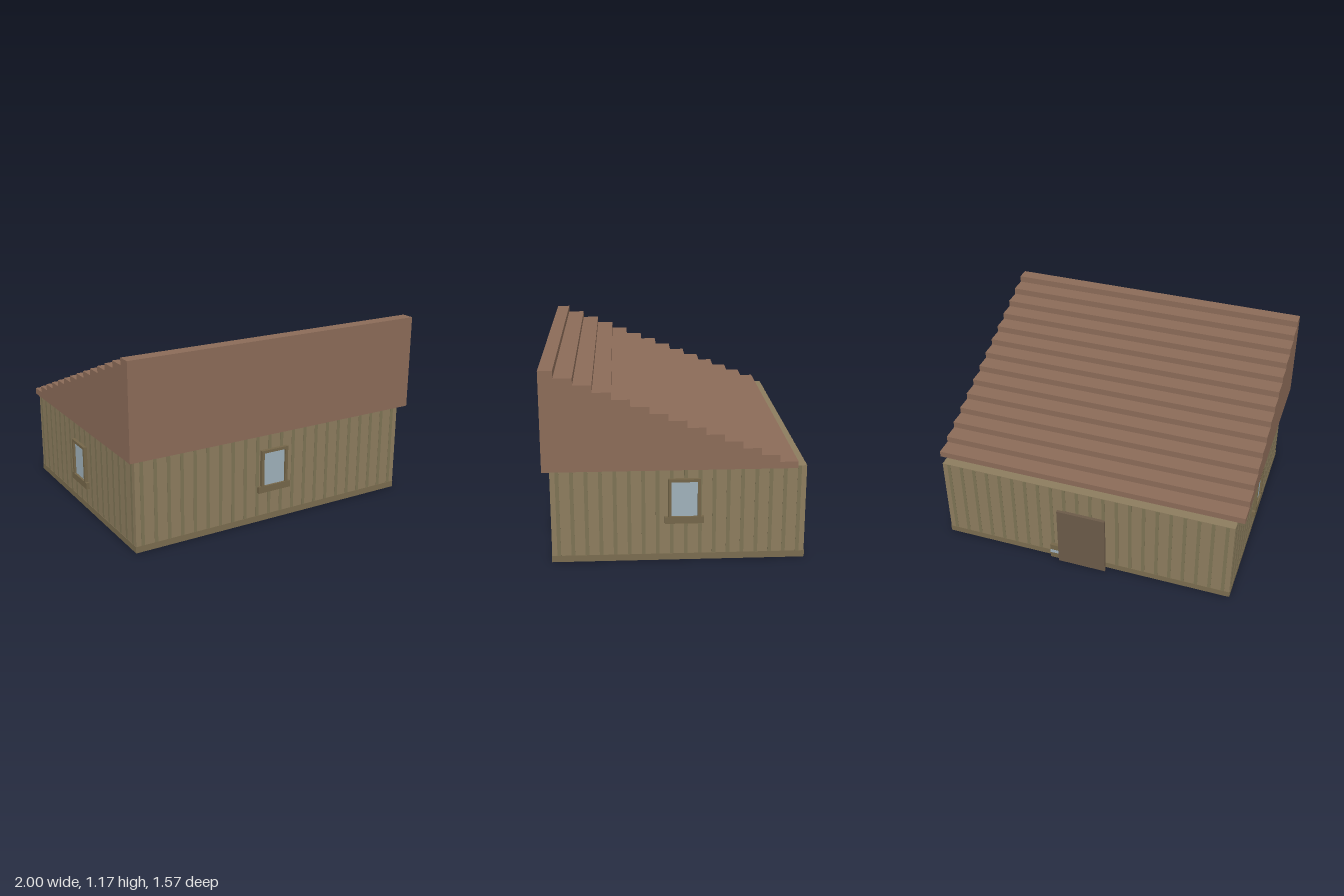
import * as THREE from 'three';

const mat = (color) => new THREE.MeshStandardMaterial({ color, flatShading: true });
const M = {
  wall: mat(0x8c7c5e), batten: mat(0x7d7354), plinth: mat(0x7a6c4f), roof: mat(0x8b6b58),
  frame: mat(0x746649), glass: mat(0x9fb0ba), door: mat(0x6b5a48),
};

// Box given by its min and max corners
function box(parent, name, material, [x0, y0, z0], [x1, y1, z1]) {
  const mesh = new THREE.Mesh(new THREE.BoxGeometry(x1 - x0, y1 - y0, z1 - z0), material);
  mesh.position.set((x0 + x1) / 2, (y0 + y1) / 2, (z0 + z1) / 2);
  mesh.name = name;
  parent.add(mesh);
  return mesh;
}

const HX = 0.955, HZ = 0.745, WALL_H = 0.577;

// Vertical battens and a plinth strip for one wall, facing local +z
function cladding(name, half, distance, angle) {
  const g = new THREE.Group();
  g.name = name;
  const n = Math.round(half * 2 / 0.085);
  for (let i = 0; i < n; i++) {
    const x = -half + (i + 0.5) * (half * 2 / n);
    box(g, 'batten', M.batten, [x - 0.011, 0.04, distance - 0.004], [x + 0.011, WALL_H - 0.001, distance + 0.002]);
  }
  box(g, 'plinth', M.plinth, [-half, 0, distance - 0.004], [half, 0.04, distance + 0.003]);
  g.rotation.y = angle;
  return g;
}

// Framed window facing local +z, with its origin at the bottom centre of the sill
function makeWindow(name) {
  const g = new THREE.Group();
  g.name = name;
  const w = 0.095, t = 0.018, top = 0.275, sill = 0.042, d = 0.022;
  box(g, 'windowSill', M.frame, [-0.115, 0, -0.01], [0.115, sill, d]);
  for (const s of [-1, 1]) {
    const x = s * (w - t / 2);
    box(g, 'windowJamb', M.frame, [x - t / 2, sill, -0.01], [x + t / 2, top, d]);
  }
  box(g, 'windowHead', M.frame, [-w + t, top - t, -0.01], [w - t, top, d]);
  box(g, 'windowPane', M.glass, [-w + t, sill, -0.01], [w - t, top - t, 0.008]);
  return g;
}

// Stepped lean-to roof, highest at the front
function makeRoof() {
  const steps = 14, back = -0.685, run = 0.1068, front = 0.786;
  const low = 0.617, rise = 0.0426;
  const s = new THREE.Shape();
  s.moveTo(front, WALL_H);
  for (let i = steps - 1; i >= 0; i--) {
    const y = low + i * rise;
    s.lineTo(i === steps - 1 ? front : back + (i + 1) * run, y);
    s.lineTo(back + i * run, y);
  }
  s.lineTo(back, WALL_H);
  const geo = new THREE.ExtrudeGeometry(s, { depth: 2, bevelEnabled: false });
  geo.rotateY(-Math.PI / 2);
  geo.translate(1, 0, 0);
  const mesh = new THREE.Mesh(geo, M.roof);
  mesh.name = 'steppedRoof';
  return mesh;
}

export function createModel() {
  const model = new THREE.Group();
  model.name = 'shed';

  // Body and cladding
  box(model, 'walls', M.wall, [-HX, 0, -HZ], [HX, WALL_H, HZ]);
  model.add(
    cladding('frontCladding', HX, HZ, 0),
    cladding('backCladding', HX, HZ, Math.PI),
    cladding('leftCladding', HZ, HX, Math.PI / 2),
    cladding('rightCladding', HZ, HX, -Math.PI / 2),
  );
  model.add(makeRoof());

  // Windows on the front and both sides
  for (const [name, x, y, z, angle] of [
    ['frontWindow', -0.015, 0.195, HZ, 0],
    ['leftWindow', HX, 0.237, -0.032, Math.PI / 2],
    ['rightWindow', -HX, 0.153, -0.032, -Math.PI / 2],
  ]) {
    const win = makeWindow(name);
    win.position.set(x, y, z);
    win.rotation.y = angle;
    model.add(win);
  }

  // Back door: surround, slab and a small box beside it
  const door = new THREE.Group();
  door.name = 'backDoor';
  box(door, 'doorSurround', M.door, [-0.13, 0, -0.769], [0.143, 0.405, -0.74]);
  box(door, 'doorSlab', M.door, [-0.15, 0, -0.786], [0.167, 0.425, -0.769]);
  box(door, 'sideBox', M.frame, [0.143, 0, -0.768], [0.23, 0.105, -0.74]);
  box(door, 'sideBoxPane', M.glass, [0.144, 0.04, -0.769], [0.231, 0.065, -0.745]);
  model.add(door);

  return model;
}
